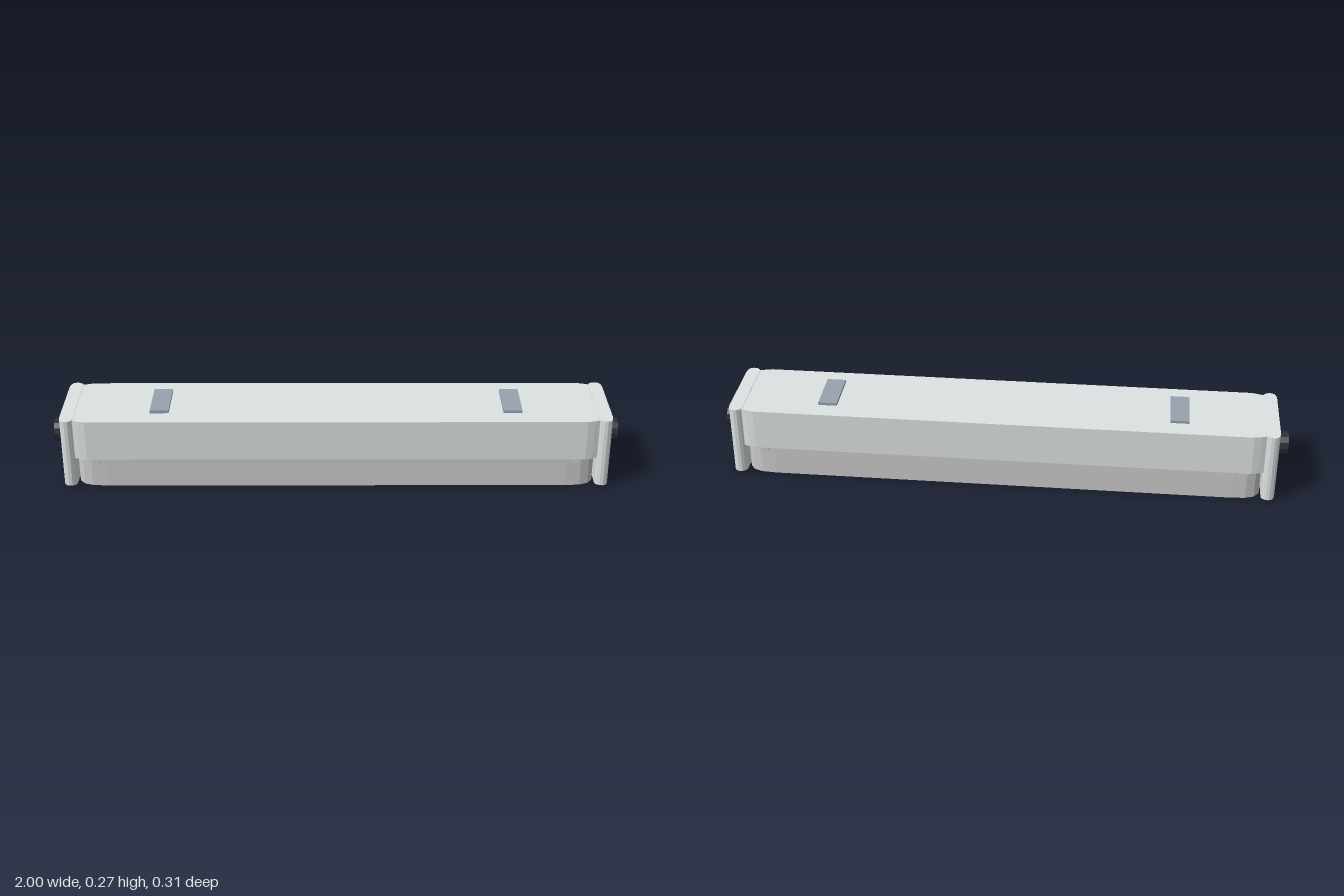
import * as THREE from 'three';

const paint = (color) => new THREE.MeshStandardMaterial({ color, flatShading: true });

// Mirrors a quarter outline (x, z), listed from the side to the end, into a closed plan
function planShape(quarter) {
  const back = [...quarter].reverse();
  const pts = [
    ...back,
    ...quarter.map(([x, z]) => [-x, z]),
    ...back.map(([x, z]) => [-x, -z]),
    ...quarter.map(([x, z]) => [x, -z]),
  ];
  return new THREE.Shape(pts.map(([x, z]) => new THREE.Vector2(x, z)));
}

// Extrudes a plan outline upward from y0 to y1
function slab(name, shape, y0, y1, material) {
  const geo = new THREE.ExtrudeGeometry(shape, { depth: y1 - y0, bevelEnabled: false });
  geo.rotateX(-Math.PI / 2).translate(0, y0, 0);
  const mesh = new THREE.Mesh(geo, material);
  mesh.name = name;
  return mesh;
}

function block(name, size, position, material) {
  const mesh = new THREE.Mesh(new THREE.BoxGeometry(...size), material);
  mesh.name = name;
  mesh.position.set(...position);
  return mesh;
}

export function createModel() {
  const model = new THREE.Group();
  model.name = 'linearLamp';
  const shell = paint(0xdde2e2);
  const grey = paint(0xcccccc);
  const padPaint = paint(0x98a3ae);
  const black = paint(0x283034);

  // Upper housing, narrowing slightly at both ends
  const housing = planShape([[0.87, 0.153], [0.895, 0.147], [0.912, 0.141], [0.925, 0.141]]);
  model.add(slab('housing', housing, 0.113, 0.26, shell));

  // Lower diffuser with chamfered corners and a narrow neck under the housing
  const diffuser = planShape([[0.81, 0.137], [0.86, 0.133], [0.89, 0.122], [0.908, 0.1]]);
  model.add(slab('diffuser', diffuser, 0, 0.106, grey));
  const neck = planShape([[0.84, 0.13], [0.88, 0.118]]);
  model.add(slab('diffuserNeck', neck, 0.104, 0.115, grey));

  for (const side of [-1, 1]) {
    const end = new THREE.Group();
    end.name = side > 0 ? 'leftEnd' : 'rightEnd';

    // End cap with rounded vertical edges
    const half = [[0.912, 0.139], [0.918, 0.147], [0.928, 0.153], [0.94, 0.154],
      [0.951, 0.149], [0.957, 0.138], [0.96, 0.122]];
    const outline = [...half.map(([x, z]) => [x, -z]), ...[...half].reverse()];
    const cap = new THREE.Shape(outline.map(([x, z]) => new THREE.Vector2(side * x, z)));
    end.add(slab('endCap', cap, 0.009, 0.262, shell));

    // Cable connector
    const plug = new THREE.Mesh(new THREE.CylinderGeometry(0.041, 0.041, 0.06, 12), black);
    plug.name = 'connector';
    plug.rotation.z = Math.PI / 2;
    plug.position.set(side * 0.97, 0.153, 0);
    end.add(plug);

    // Mounting pad on top
    end.add(block('mountingPad', [0.066, 0.012, 0.168], [side * 0.617, 0.264, 0], padPaint));

    // Small latches along the seam, front and back
    for (const face of [-1, 1]) {
      end.add(block('latch', [0.022, 0.022, 0.018], [side * 0.837, 0.106, face * 0.138], grey));
    }
    model.add(end);
  }
  return model;
}
